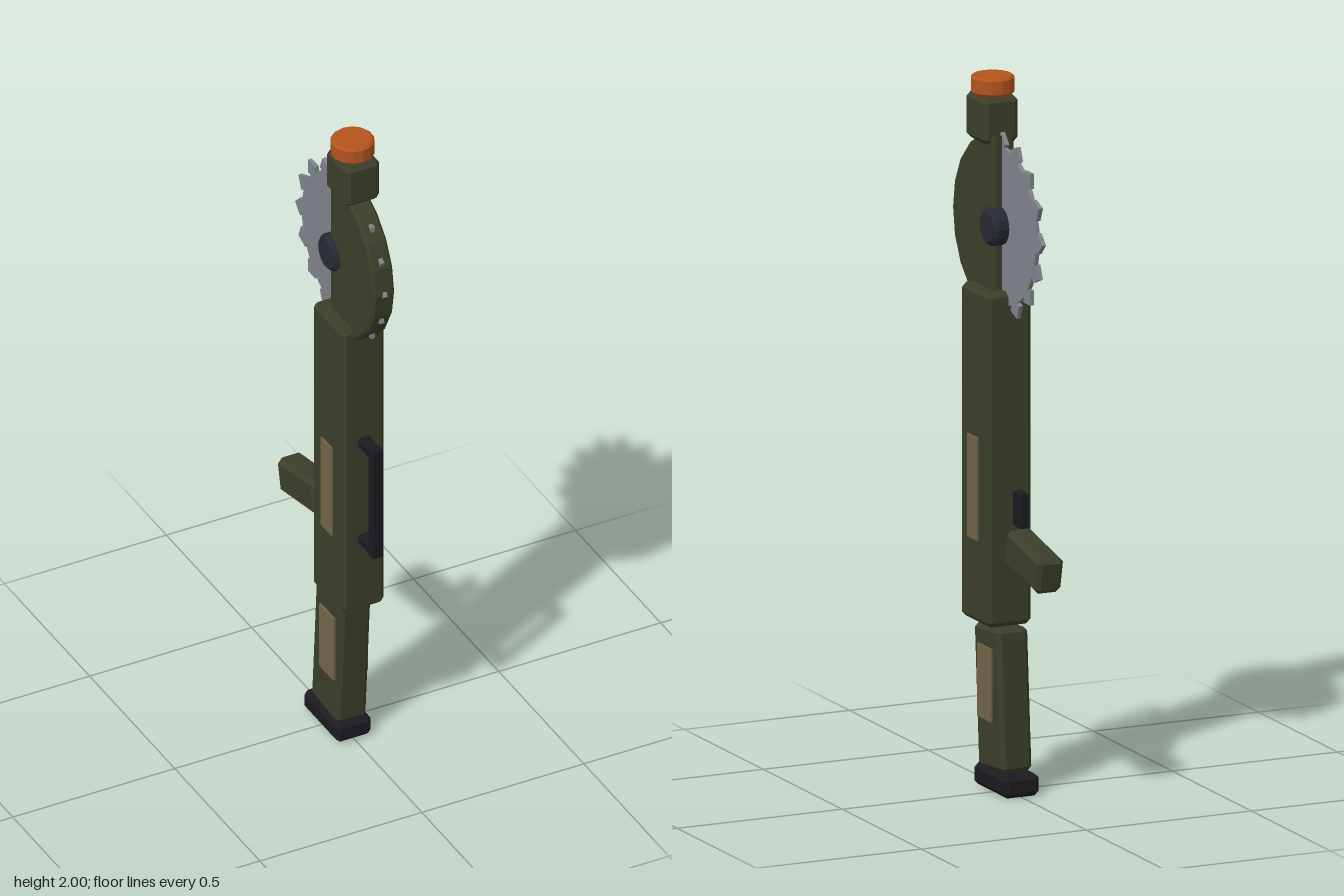
import * as THREE from 'three';
import { ConvexGeometry } from 'three/addons/geometries/ConvexGeometry.js';

const mat = (color) => new THREE.MeshStandardMaterial({ color, flatShading: true });

// Box with flat chamfers on every edge
function chamferBox(w, h, d, c) {
  const pts = [];
  for (const x of [-1, 1]) for (const y of [-1, 1]) for (const z of [-1, 1]) {
    const a = w / 2, b = h / 2, e = d / 2;
    pts.push(
      new THREE.Vector3(x * a, y * (b - c), z * (e - c)),
      new THREE.Vector3(x * (a - c), y * b, z * (e - c)),
      new THREE.Vector3(x * (a - c), y * (b - c), z * e));
  }
  return new ConvexGeometry(pts);
}

// Closed disc with chamfered rims, axis along y
function chamferDisc(r, h, c, sides) {
  const profile = [[0, -h / 2], [r - c, -h / 2], [r, -h / 2 + c], [r, h / 2 - c], [r - c, h / 2], [0, h / 2]];
  return new THREE.LatheGeometry(profile.map(([x, y]) => new THREE.Vector2(x, y)), sides);
}

export function createModel() {
  const root = new THREE.Group();
  const olive = mat(0x3b3f2a), dark = mat(0x1b1b20), tan = mat(0x736549);
  const hubMat = mat(0x272a31), steel = mat(0x80858c), orange = mat(0xb3541e);

  const add = (name, geo, material, x, y, z, rx = 0, parent = root) => {
    const m = new THREE.Mesh(geo, material);
    m.name = name;
    m.position.set(x, y, z);
    m.rotation.x = rx;
    parent.add(m);
    return m;
  };

  // Main body and lower stock
  add('body', chamferBox(0.134, 0.94, 0.178, 0.013), olive, 0, 0.94, 0.07);
  add('stock', chamferBox(0.094, 0.4, 0.158, 0.012), olive, 0, 0.264, 0.026, 0.07);
  add('buttPad', chamferBox(0.108, 0.062, 0.208, 0.013), dark, 0, 0.036, 0.005);

  // Side plates
  for (const s of [-1, 1]) {
    add('bodyPlate', new THREE.BoxGeometry(0.012, 0.29, 0.065), tan, s * 0.066, 0.85, 0.073);
    add('stockPlate', new THREE.BoxGeometry(0.012, 0.205, 0.085), tan, s * 0.047, 0.305, 0.039);
  }

  // Carry handle on the front
  add('carryHandleBar', chamferBox(0.034, 0.36, 0.028, 0.004), dark, 0, 0.87, 0.229);
  for (const y of [0.71, 1.03])
    add('carryHandleMount', chamferBox(0.034, 0.03, 0.09, 0.004), dark, 0, y, 0.187);

  // Rear grip and trigger
  add('rearGrip', chamferBox(0.08, 0.105, 0.218, 0.014), olive, 0, 0.688, -0.168, -0.21);
  add('trigger', chamferBox(0.026, 0.1, 0.052, 0.004), dark, 0, 0.815, -0.085);

  // Half-disc blade guard
  const guardShape = new THREE.Shape();
  const n = 10, r = 0.246;
  for (let i = 0; i <= n; i++) {
    const a = -Math.PI / 2 + (Math.PI * i) / n;
    guardShape[i ? 'lineTo' : 'moveTo'](Math.cos(a) * r, Math.sin(a) * r);
  }
  guardShape.closePath();
  const guardGeo = new THREE.ExtrudeGeometry(guardShape, {
    depth: 0.052, bevelEnabled: true, bevelThickness: 0.007, bevelSize: 0.007, bevelSegments: 1 });
  guardGeo.translate(0, 0, -0.026).rotateY(-Math.PI / 2);
  add('bladeGuard', guardGeo, olive, 0, 1.59, 0.028);

  // Saw blade with diamond teeth
  const blade = new THREE.Group();
  blade.name = 'sawBlade';
  blade.position.set(0, 1.59, 0.028);
  root.add(blade);
  const disc = new THREE.CylinderGeometry(0.222, 0.222, 0.012, 40).rotateZ(Math.PI / 2);
  add('bladeDisc', disc, steel, 0, 0, 0, 0, blade);
  const toothGeo = new THREE.BoxGeometry(0.012, 0.042, 0.042);
  for (let i = 0; i < 16; i++) {
    const a = (i * Math.PI) / 8;
    add('bladeTooth', toothGeo, steel, 0, Math.sin(a) * 0.232, -Math.cos(a) * 0.232, a + Math.PI / 4, blade);
  }
  add('bladeHub', chamferDisc(0.054, 0.098, 0.01, 14).rotateZ(Math.PI / 2), hubMat, 0, 1.59, 0.028);

  // Head block and cap
  add('headBlock', chamferBox(0.108, 0.132, 0.126, 0.014), olive, 0, 1.882, 0.096);
  add('cap', chamferDisc(0.061, 0.052, 0.007, 14), orange, 0, 1.974, 0.093);

  return root;
}
